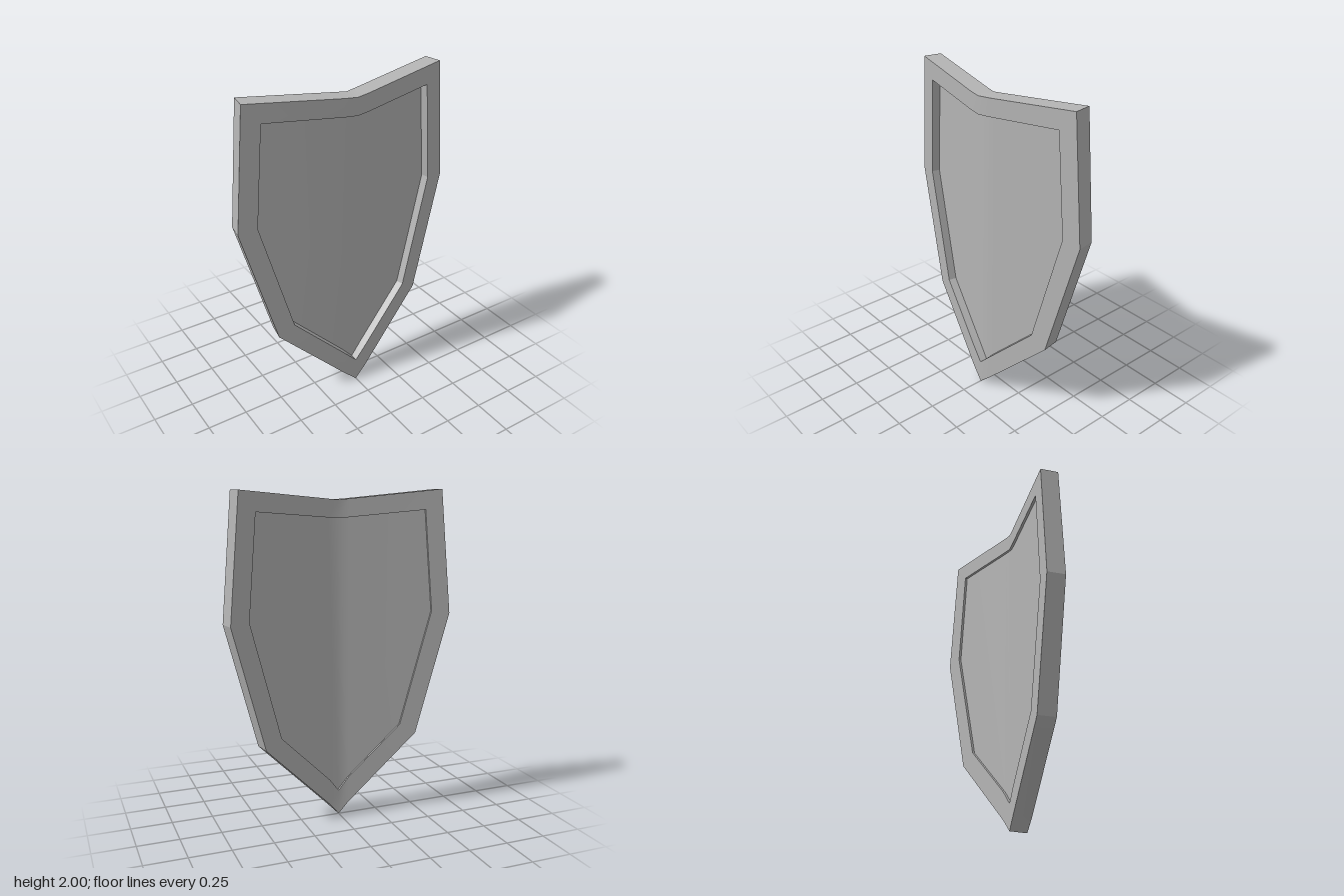
import * as THREE from 'three';
import { toCreasedNormals } from 'three/addons/utils/BufferGeometryUtils.js';

const THICK = 0.11, FRONT_RECESS = 0.05, BACK_RECESS = 0.095;
const BEND = 0.08, SLOPE = 0.168;

// Half outlines from top centre to bottom tip, on the front surface
const outerHalf = [[0, 1.94], [BEND, 1.946], [0.638, 2], [0.705, 1.255], [0.505, 0.5], [BEND, 0.073], [0, 0]];
const innerHalf = [[0, 1.835], [BEND, 1.84], [0.54, 1.88], [0.592, 1.27], [0.404, 0.56], [BEND, 0.236], [0, 0.155]];

const mirrorLoop = (half) => [...half, ...half.slice(1, -1).reverse().map(([x, y]) => [-x, y])];

// Place an outline point on the bent surface, sunk by depth d along its normal
function bend(x, y, d) {
  const a = Math.abs(x);
  if (a < 1e-6) return [0, y, 0.11 - d];
  const z = 0.1 - (a - BEND) * SLOPE;
  return [Math.sign(x) * (a - 0.166 * d), y, z - 0.986 * d];
}

// Join rows of points with quads; rows run along the first index
function skin(rows, closed, flip = false) {
  const pos = [];
  const n = rows.length;
  for (let i = 0; i < (closed ? n : n - 1); i++) {
    const p = rows[i], q = rows[(i + 1) % n];
    for (let j = 0; j < p.length - 1; j++) {
      const tris = [[p[j], q[j], q[j + 1]], [p[j], q[j + 1], p[j + 1]]];
      for (const [a, b, c] of tris) pos.push(...a, ...(flip ? c : b), ...(flip ? b : c));
    }
  }
  const geo = new THREE.BufferGeometry();
  geo.setAttribute('position', new THREE.Float32BufferAttribute(pos, 3));
  return toCreasedNormals(geo, 0.3);
}

// Height on a polyline of the outline at a given x
function heightAt(line, x) {
  for (let i = 0; i < line.length - 1; i++) {
    const [x0, y0] = line[i], [x1, y1] = line[i + 1];
    if (x <= x1 + 1e-6) return y0 + (y1 - y0) * (x - x0) / (x1 - x0);
  }
  return line[line.length - 1][1];
}

export function createModel() {
  const group = new THREE.Group();
  const steel = new THREE.MeshStandardMaterial({ color: 0xb4b4b4 });
  steel.name = 'greySteel';
  const add = (name, geo) => {
    const mesh = new THREE.Mesh(geo, steel);
    mesh.name = name;
    group.add(mesh);
  };

  // Raised rim: one closed band from front recess, around the edge, to back recess
  const inner = mirrorLoop(innerHalf);
  const rimRows = mirrorLoop(outerHalf).map(([ox, oy], i) => {
    const [ix, iy] = inner[i];
    return [
      bend(ix, iy, FRONT_RECESS), bend(ix, iy, 0),
      bend(ox, oy, 0), bend(ox, oy, THICK),
      bend(ix, iy, THICK), bend(ix, iy, BACK_RECESS),
    ];
  });
  add('rim', skin(rimRows, true));

  // Sunken panels: vertical strips between the top and bottom inner edges
  const topLine = innerHalf.slice(0, 4);
  const bottomLine = innerHalf.slice(3).reverse();
  const half = [0, BEND, 0.404, 0.54, 0.592];
  const stations = [...half.slice(1).reverse().map((x) => -x), ...half];
  const panelRows = (d) => stations.map((x) => {
    const a = Math.abs(x);
    return [bend(x, heightAt(bottomLine, a), d), bend(x, heightAt(topLine, a), d)];
  });
  add('frontPanel', skin(panelRows(FRONT_RECESS), false));
  add('backPanel', skin(panelRows(BACK_RECESS), false, true));

  return group;
}
